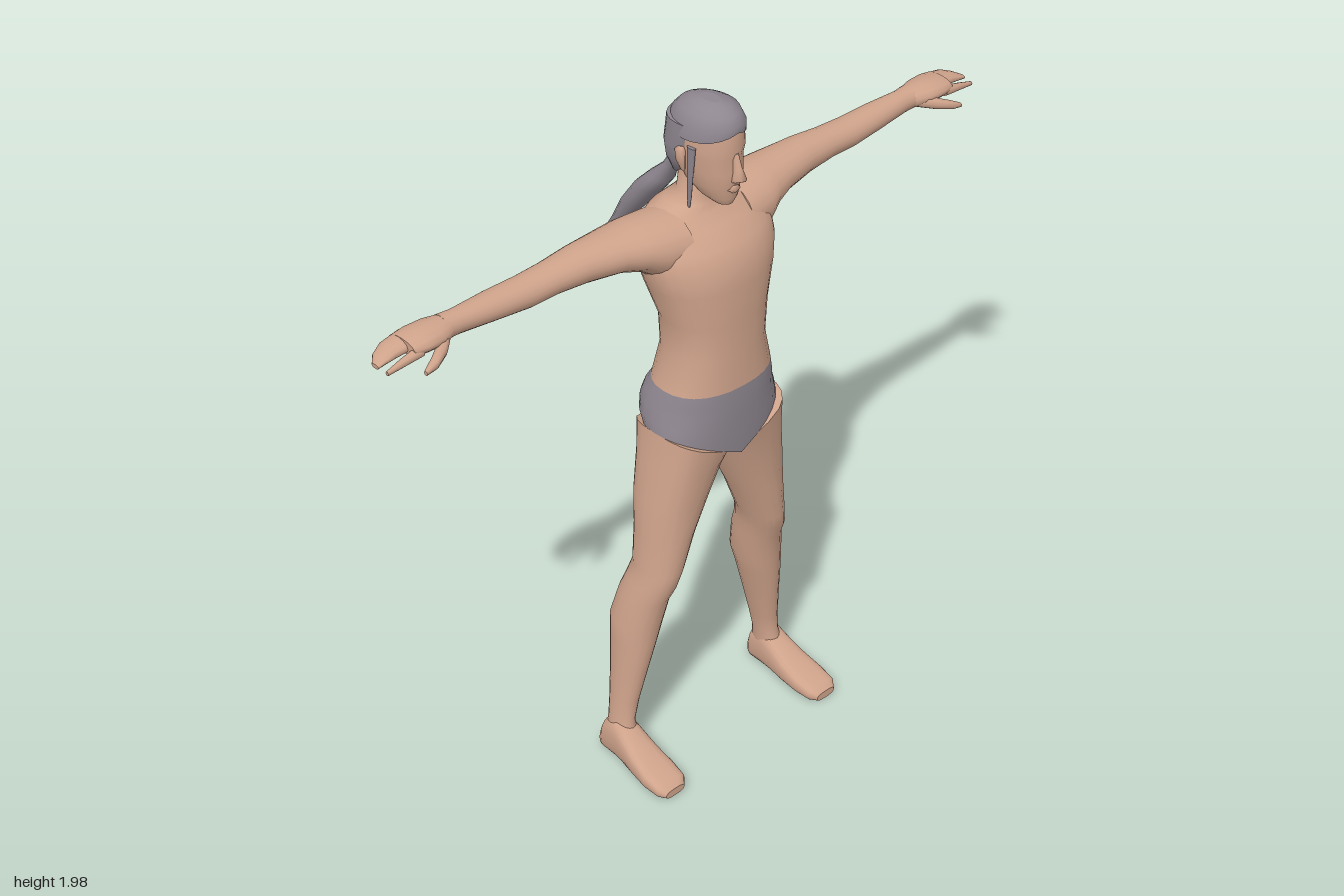
import * as THREE from 'three';

const skin = new THREE.MeshStandardMaterial({ color: 0xcfa38b });
skin.name = 'skin';
const slate = new THREE.MeshStandardMaterial({ color: 0x8f8790 });
slate.name = 'slate hair and cloth';

// Loft along an axis. Ring: [position, a0, a1, b0, b1, exponent, slope],
// (a, b) being (x, z) along y, (y, z) along x and (x, y) along z.
// The slope lifts a ring by slope * |a|. Side -1 mirrors in x.
function loft(name, axis, rings, material, side = 1, sides = 20) {
  const pos = [], index = [];
  const put = (p, a, b) => {
    const v = axis === 'y' ? [a, p, b] : axis === 'x' ? [p, a, b] : [a, b, p];
    pos.push(v[0] * side, v[1], v[2]);
    return pos.length / 3 - 1;
  };
  const bend = (t, n) => Math.sign(t) * Math.abs(t) ** (2 / n);
  const ring = ([p, a0, a1, b0, b1, n = 2, k = 0]) => {
    const start = pos.length / 3;
    for (let i = 0; i < sides; i++) {
      const t = (i / sides) * Math.PI * 2;
      const a = (a0 + a1) / 2 + ((a1 - a0) / 2) * bend(Math.cos(t), n);
      const b = (b0 + b1) / 2 + ((b1 - b0) / 2) * bend(Math.sin(t), n);
      put(p + k * Math.abs(a), a, b);
    }
    return start;
  };
  const starts = rings.map(ring);
  for (let r = 0; r + 1 < starts.length; r++) {
    for (let i = 0; i < sides; i++) {
      const j = (i + 1) % sides, s = starts[r], e = starts[r + 1];
      index.push(s + i, e + i, s + j, s + j, e + i, e + j);
    }
  }
  // end caps with their own vertices
  [rings[0], rings[rings.length - 1]].forEach((r, end) => {
    const s = ring(r), a = (r[1] + r[2]) / 2;
    const c = put(r[0] + (r[6] || 0) * Math.abs(a), a, (r[3] + r[4]) / 2);
    for (let i = 0; i < sides; i++) {
      const j = (i + 1) % sides;
      index.push(c, s + (end ? j : i), s + (end ? i : j));
    }
  });
  // turn the faces outward
  const at = (i) => new THREE.Vector3().fromArray(pos, i * 3);
  let volume = 0;
  for (let i = 0; i < index.length; i += 3) {
    volume += at(index[i]).dot(at(index[i + 1]).cross(at(index[i + 2])));
  }
  if (volume < 0) index.reverse();
  const g = new THREE.BufferGeometry();
  g.setAttribute('position', new THREE.Float32BufferAttribute(pos, 3));
  g.setIndex(index);
  g.computeVertexNormals();
  const mesh = new THREE.Mesh(g, material);
  mesh.name = name;
  return mesh;
}

export function createModel() {
  const model = new THREE.Group();
  model.name = 'figure';
  const add = (...args) => model.add(loft(...args));

  add('torso', 'y', [
    [1.2, -0.168, 0.168, 0.0, 0.245, 2.3],
    [1.3, -0.142, 0.142, 0.015, 0.24, 2.3],
    [1.4, -0.15, 0.15, 0.015, 0.24, 2.3],
    [1.5, -0.182, 0.182, -0.018, 0.24, 2.2],
    [1.56, -0.2, 0.2, -0.033, 0.233, 2.1],
    [1.61, -0.205, 0.205, -0.04, 0.21],
    [1.65, -0.19, 0.19, -0.035, 0.168],
    [1.68, -0.15, 0.15, -0.02, 0.14],
    [1.7, -0.09, 0.09, 0.0, 0.13],
    [1.72, -0.056, 0.056, 0.018, 0.128],
    [1.79, -0.05, 0.05, 0.025, 0.13],
  ], skin, 1, 28);

  add('briefs', 'y', [
    [0.985, -0.196, 0.196, 0.0, 0.24, 2.4, 0.48],
    [1.05, -0.193, 0.193, -0.025, 0.243, 2.4, 0.3],
    [1.12, -0.184, 0.184, -0.034, 0.245, 2.3, 0.1],
    [1.16, -0.178, 0.178, -0.022, 0.246, 2.3, 0.04],
    [1.2, -0.168, 0.168, 0.0, 0.245, 2.3],
  ], slate, 1, 28);

  // head and face
  add('head', 'y', [
    [1.715, -0.022, 0.022, 0.13, 0.188],
    [1.735, -0.042, 0.042, 0.085, 0.198],
    [1.77, -0.06, 0.06, 0.04, 0.202],
    [1.81, -0.07, 0.07, 0.02, 0.208],
    [1.85, -0.075, 0.075, 0.012, 0.204],
    [1.875, -0.077, 0.077, 0.01, 0.21],
    [1.93, -0.076, 0.076, 0.012, 0.203],
  ], skin, 1, 24);
  add('nose', 'y', [
    [1.788, -0.014, 0.014, 0.19, 0.216],
    [1.8, -0.016, 0.016, 0.19, 0.239],
    [1.83, -0.01, 0.01, 0.19, 0.223],
    [1.865, -0.007, 0.007, 0.19, 0.21],
  ], skin, 1, 8);
  add('lips', 'y', [
    [1.753, -0.008, 0.008, 0.185, 0.203],
    [1.764, -0.02, 0.02, 0.18, 0.211],
    [1.776, -0.008, 0.008, 0.185, 0.206],
  ], skin, 1, 10);

  // hair
  add('hairCap', 'y', [
    [1.922, -0.084, 0.084, -0.003, 0.209, 2, -0.3],
    [1.94, -0.081, 0.081, 0.003, 0.21, 2, -0.12],
    [1.962, -0.066, 0.066, 0.025, 0.196],
    [1.976, -0.043, 0.043, 0.055, 0.172],
    [1.983, -0.018, 0.018, 0.085, 0.145],
  ], slate, 1, 24);
  add('hairBack', 'y', [
    [1.745, -0.025, 0.025, -0.012, 0.045],
    [1.775, -0.05, 0.05, -0.008, 0.09],
    [1.81, -0.073, 0.073, -0.005, 0.125, 2.3],
    [1.86, -0.084, 0.084, -0.005, 0.135, 2.3],
    [1.93, -0.083, 0.083, 0.0, 0.16, 2.2],
  ], slate, 1, 24);
  add('ponytail', 'y', [
    [1.78, -0.028, 0.028, -0.02, 0.03],
    [1.735, -0.02, 0.02, -0.05, -0.008],
    [1.69, -0.036, 0.036, -0.1, -0.025],
    [1.645, -0.043, 0.043, -0.145, -0.06],
    [1.57, -0.036, 0.036, -0.2, -0.125],
    [1.49, -0.02, 0.02, -0.245, -0.195],
    [1.405, -0.001, 0.001, -0.298, -0.294],
  ], slate, 1, 12);

  for (const side of [1, -1]) {
    const s = side > 0 ? 'left' : 'right';
    add(s + 'Ear', 'y', [
      [1.8, 0.068, 0.076, 0.085, 0.1],
      [1.83, 0.07, 0.089, 0.078, 0.108],
      [1.86, 0.07, 0.091, 0.075, 0.108],
      [1.87, 0.07, 0.082, 0.085, 0.1],
    ], skin, side, 8);
    add(s + 'Sidelock', 'y', [
      [1.685, 0.064, 0.067, 0.105, 0.109],
      [1.73, 0.064, 0.073, 0.105, 0.12],
      [1.79, 0.07, 0.081, 0.112, 0.132],
      [1.88, 0.072, 0.085, 0.115, 0.145],
    ], slate, side, 8);

    // arm and hand
    add(s + 'Arm', 'x', [
      [0.1, 1.53, 1.692, -0.03, 0.17],
      [0.18, 1.535, 1.695, -0.033, 0.162],
      [0.22, 1.565, 1.693, -0.03, 0.145],
      [0.28, 1.583, 1.69, -0.022, 0.125],
      [0.38, 1.592, 1.688, -0.012, 0.104],
      [0.47, 1.598, 1.68, -0.004, 0.094],
      [0.55, 1.595, 1.676, -0.003, 0.09],
      [0.65, 1.605, 1.677, 0.0, 0.085],
      [0.76, 1.616, 1.678, 0.012, 0.076],
      [0.8, 1.62, 1.679, 0.006, 0.08],
    ], skin, side);
    add(s + 'Palm', 'x', [
      [0.78, 1.62, 1.677, 0.012, 0.076],
      [0.83, 1.622, 1.681, -0.003, 0.098],
      [0.88, 1.626, 1.678, -0.008, 0.1],
      [0.915, 1.632, 1.67, -0.006, 0.092],
    ], skin, side, 14);
    add(s + 'Fingers', 'x', [
      [0.89, 1.63, 1.672, -0.008, 0.064],
      [0.95, 1.63, 1.662, -0.002, 0.064],
      [0.98, 1.63, 1.65, 0.012, 0.063],
      [1.0, 1.628, 1.64, 0.035, 0.06],
    ], skin, side, 12);
    add(s + 'IndexFinger', 'x', [
      [0.89, 1.63, 1.662, 0.07, 0.096],
      [0.95, 1.628, 1.648, 0.074, 0.095],
      [0.995, 1.624, 1.636, 0.08, 0.091],
    ], skin, side, 8);
    add(s + 'Thumb', 'x', [
      [0.8, 1.625, 1.66, 0.05, 0.08],
      [0.84, 1.615, 1.65, 0.075, 0.115],
      [0.88, 1.608, 1.635, 0.1, 0.132],
      [0.913, 1.605, 1.618, 0.117, 0.13],
    ], skin, side, 8);

    // leg and foot
    add(s + 'Leg', 'y', [
      [0.985, 0.0, 0.195, 0.0, 0.239, 2.8, 0.48],
      [0.95, 0.012, 0.208, 0.008, 0.228, 2.5, 0.15],
      [0.87, 0.04, 0.228, 0.018, 0.215, 2.3],
      [0.76, 0.088, 0.238, 0.032, 0.207],
      [0.65, 0.13, 0.246, 0.043, 0.2],
      [0.6, 0.142, 0.258, 0.03, 0.19],
      [0.55, 0.148, 0.27, 0.013, 0.168],
      [0.46, 0.16, 0.288, -0.006, 0.152],
      [0.4, 0.178, 0.29, 0.0, 0.145],
      [0.3, 0.205, 0.294, 0.01, 0.13],
      [0.2, 0.23, 0.301, 0.02, 0.115],
      [0.13, 0.245, 0.308, 0.025, 0.11],
      [0.07, 0.246, 0.318, 0.02, 0.13],
    ], skin, side);
    add(s + 'Foot', 'z', [
      [0.013, 0.26, 0.312, 0, 0.065, 2.6],
      [0.03, 0.246, 0.322, 0, 0.11, 2.6],
      [0.08, 0.242, 0.326, 0, 0.135, 2.6],
      [0.12, 0.24, 0.33, 0, 0.112, 2.6],
      [0.17, 0.236, 0.338, 0, 0.08, 2.8],
      [0.23, 0.234, 0.345, 0, 0.055, 3],
      [0.28, 0.24, 0.341, 0, 0.04, 3],
      [0.3, 0.258, 0.325, 0, 0.025, 2.6],
    ], skin, side);
  }
  return model;
}
